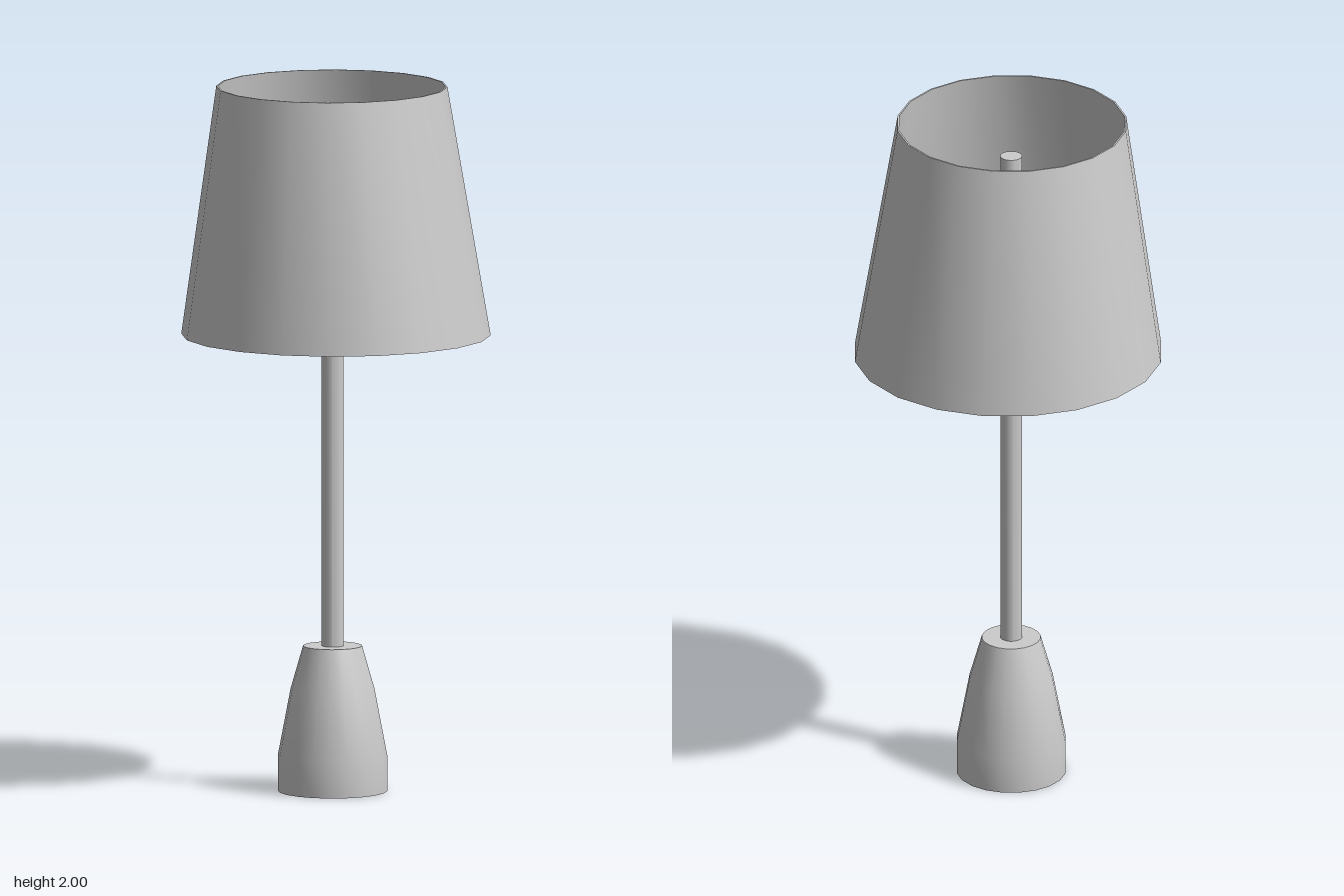
import * as THREE from 'three';
import { toCreasedNormals } from 'three/addons/utils/BufferGeometryUtils.js';

const SIDES = 20;

// Turned solid with smooth sides and sharp rims
function turned(name, profile, material) {
  const points = profile.map(([r, y]) => new THREE.Vector2(r, y));
  const geometry = toCreasedNormals(new THREE.LatheGeometry(points, SIDES), 0.6);
  const mesh = new THREE.Mesh(geometry, material);
  mesh.name = name;
  return mesh;
}

export function createModel() {
  const group = new THREE.Group();
  group.name = 'tableLamp';
  const material = new THREE.MeshStandardMaterial({ color: 0xcccccc, side: THREE.DoubleSide });
  const axisX = -0.01;

  // Tapered foot
  const base = turned('base', [
    [0, 0], [0.154, 0], [0.154, 0.1], [0.118, 0.29], [0.083, 0.412], [0, 0.412],
  ], material);
  base.position.x = axisX;

  // Slim pole ending just below the top of the shade
  const pole = turned('pole', [[0, 0.4], [0.031, 0.4], [0.031, 1.9], [0, 1.9]], material);
  pole.position.x = axisX;

  // Thin open shade: outer wall, top rim, inner wall, bottom rim
  const shade = turned('shade', [
    [0.435, 1.295], [0.325, 2], [0.32, 2], [0.43, 1.295], [0.435, 1.295],
  ], material);

  // The shade leans slightly towards -x at the top
  const pos = shade.geometry.attributes.position;
  for (let i = 0; i < pos.count; i++) {
    const t = (pos.getY(i) - 1.295) / 0.705;
    pos.setX(i, pos.getX(i) - 0.012 * t);
  }

  group.add(base, pole, shade);
  return group;
}
